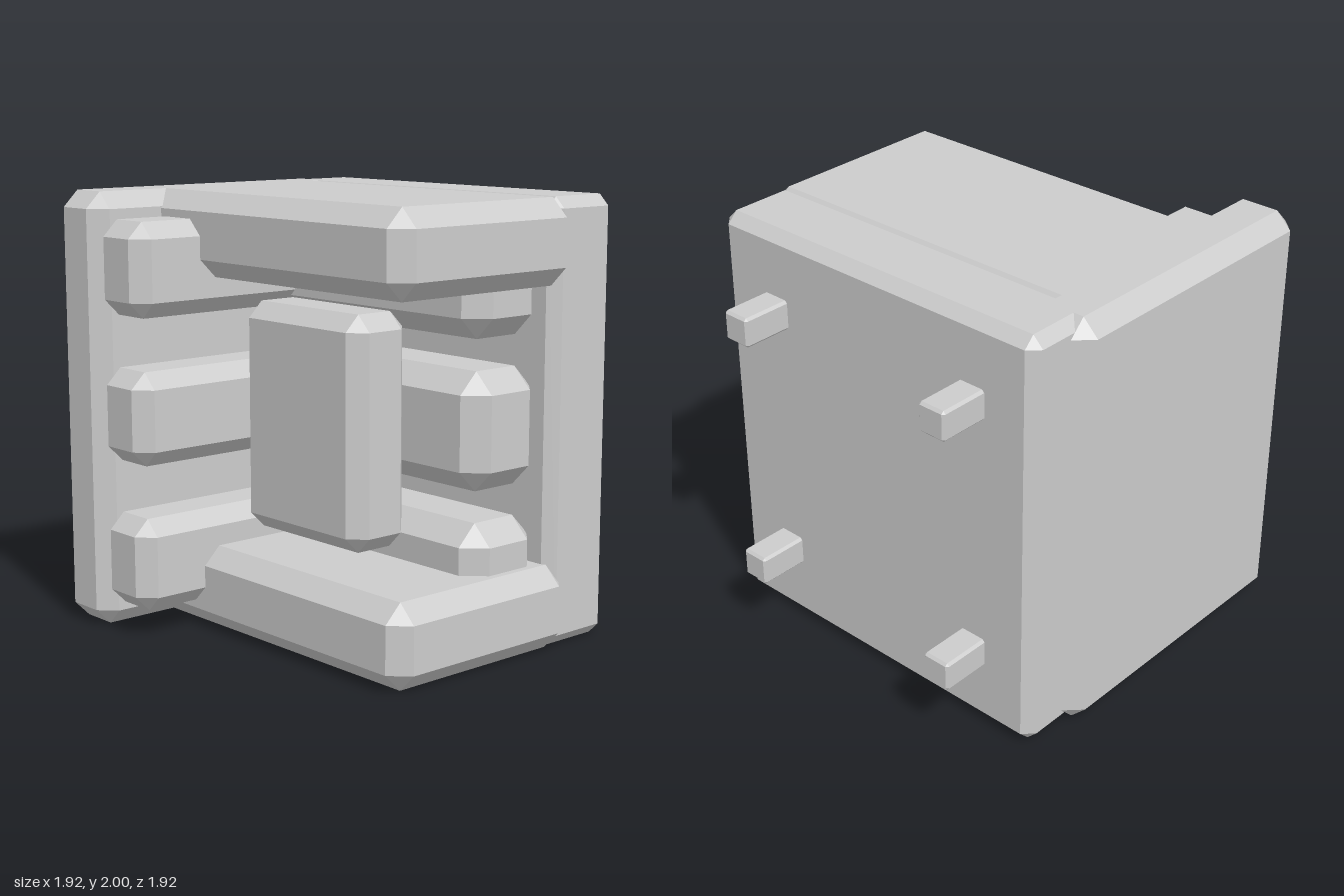
import * as THREE from 'three';
import { ConvexGeometry } from 'three/addons/geometries/ConvexGeometry.js';

// Box with every edge and corner cut at 45 degrees, given by its [min, max] extents
function chamferedBox(xs, ys, zs, cut) {
  const size = [xs, ys, zs].map(([a, b]) => (b - a) / 2);
  const points = [];
  for (const sx of [-1, 1]) for (const sy of [-1, 1]) for (const sz of [-1, 1]) {
    const signs = [sx, sy, sz];
    for (let axis = 0; axis < 3; axis++) {
      const p = signs.map((s, i) => s * (size[i] - (i === axis ? 0 : cut)));
      points.push(new THREE.Vector3(...p));
    }
  }
  const geometry = new ConvexGeometry(points);
  geometry.translate(...[xs, ys, zs].map(([a, b]) => (a + b) / 2));
  return geometry;
}

export function createModel() {
  const group = new THREE.Group();
  const grey = new THREE.MeshStandardMaterial({ color: 0xcccccc });
  grey.name = 'light grey';

  const add = (name, xs, ys, zs, cut) => {
    const mesh = new THREE.Mesh(chamferedBox(xs, ys, zs, cut), grey);
    mesh.name = name;
    group.add(mesh);
  };

  // Shell: back plate, side wall, top and bottom slabs
  add('backPlate', [-0.89, 0.91], [0, 2], [-0.73, -0.345], 0.05);
  add('sideWall', [-0.965, -0.635], [0, 2], [-0.515, 0.96], 0.075);
  add('topSlab', [-0.8, 0.96], [1.62, 2], [-0.44, 0.605], 0.083);
  add('bottomSlab', [-0.8, 0.96], [0, 0.38], [-0.44, 0.605], 0.083);

  // Three rows, each with a wide cross bar and a long bar reaching forward
  [0.335, 1.003, 1.668].forEach((y, i) => {
    add(`crossBar${i + 1}`, [-0.62, 0.845], [y - 0.263, y + 0.263], [-0.365, 0.06], 0.095);
    add(`forwardBar${i + 1}`, [-0.68, -0.345], [y - 0.213, y + 0.213], [-0.45, 0.94], 0.073);
  });

  // Upright panel in front of the cross bars
  add('centrePanel', [-0.345, 0.46], [0.455, 1.505], [0.06, 0.39], 0.073);

  // Four pegs on the back
  for (const x of [-0.563, 0.58]) for (const y of [0.385, 1.625]) {
    add('peg', [x - 0.07, x + 0.07], [y - 0.07, y + 0.07], [-0.965, -0.7], 0.012);
  }

  return group;
}
